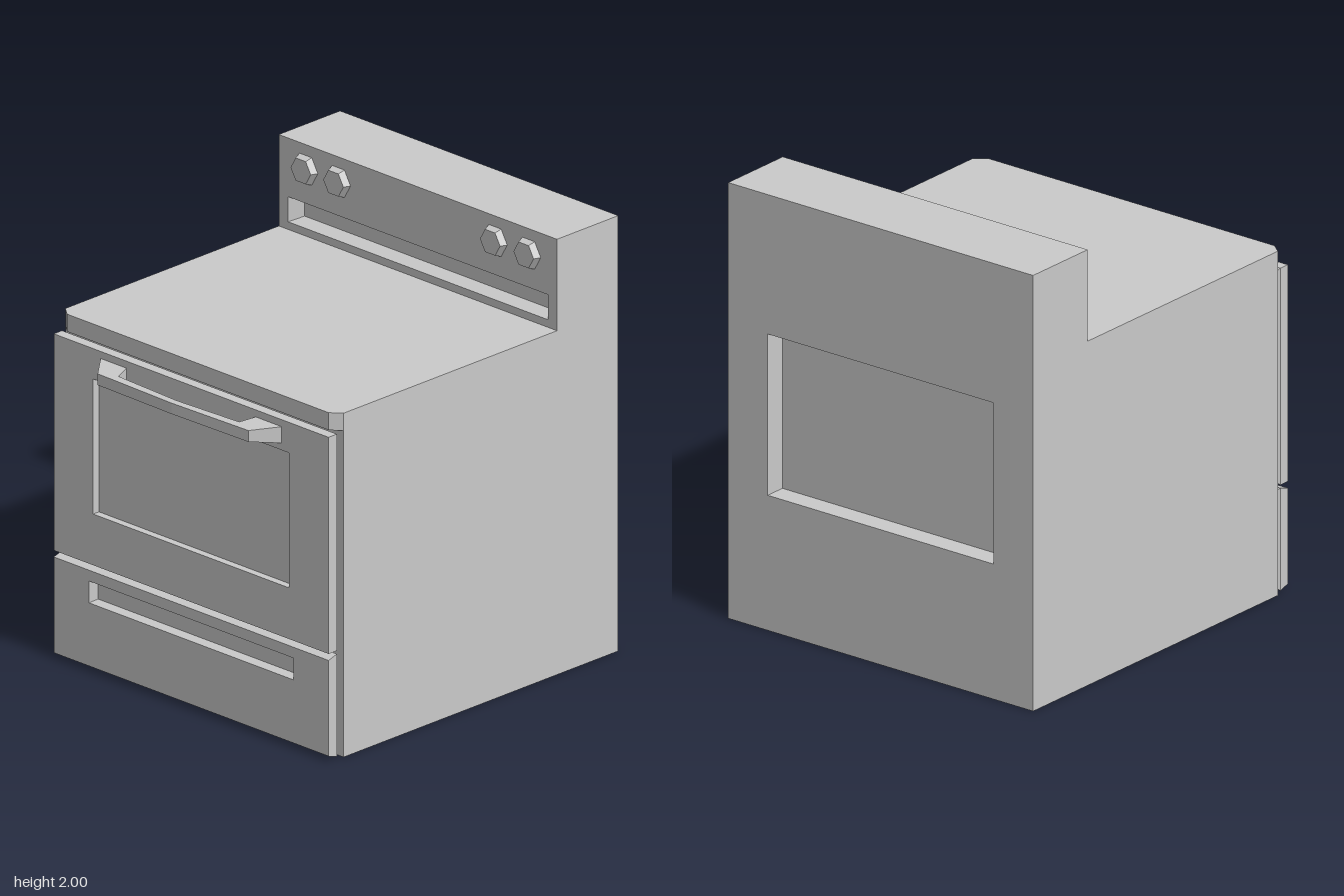
import * as THREE from 'three';

const material = new THREE.MeshStandardMaterial({ color: 0xcccccc, flatShading: true });

function add(group, name, geometry, x = 0, y = 0, z = 0) {
  const mesh = new THREE.Mesh(geometry, material);
  mesh.name = name;
  mesh.position.set(x, y, z);
  group.add(mesh);
  return mesh;
}

// Skin a chain of rectangles [halfWidth, bottom, top, z] from back to front, capping both ends.
// Smaller rectangles at either end fold inwards to form recesses.
function rectLoft(rects) {
  const rings = rects.map(([w, y0, y1, z]) => [[-w, y0, z], [w, y0, z], [w, y1, z], [-w, y1, z]]);
  const pos = [];
  const quad = (a, b, c, d) => pos.push(...a, ...b, ...c, ...a, ...c, ...d);
  const first = rings[0], last = rings[rings.length - 1];
  quad(first[3], first[2], first[1], first[0]);
  for (let k = 0; k < rings.length - 1; k++) {
    for (let i = 0; i < 4; i++) {
      const j = (i + 1) % 4;
      quad(rings[k][i], rings[k][j], rings[k + 1][j], rings[k + 1][i]);
    }
  }
  quad(last[0], last[1], last[2], last[3]);
  const g = new THREE.BufferGeometry();
  g.setAttribute('position', new THREE.Float32BufferAttribute(pos, 3));
  g.computeVertexNormals();
  return g;
}

// Extrude a plan outline of [x, z] points upwards from y = 0
function planExtrude(points, height) {
  const shape = new THREE.Shape(points.map(([x, z]) => new THREE.Vector2(x, -z)));
  return new THREE.ExtrudeGeometry(shape, { depth: height, bevelEnabled: false }).rotateX(-Math.PI / 2);
}

export function createModel() {
  const stove = new THREE.Group();
  stove.name = 'stove';

  // Main cabinet and the chamfered front lip of the cooktop
  add(stove, 'cabinet', new THREE.BoxGeometry(1.66, 1.58, 1.29), 0, 0.79, 0.085);
  add(stove, 'cooktopLip',
    planExtrude([[-0.83, 0.73], [-0.78, 0.77], [0.78, 0.77], [0.83, 0.73]], 0.08), 0, 1.5, 0);

  // Rear section with a recess in the back and a vent slot in the control panel
  add(stove, 'backPanel', rectLoft([
    [0.615, 0.62, 1.36, -0.83],
    [0.615, 0.62, 1.36, -0.93],
    [0.83, 0, 2, -0.93],
    [0.83, 0, 2, -0.56],
    [0.775, 1.615, 1.73, -0.56],
    [0.735, 1.635, 1.71, -0.62],
  ]));

  // Oven door with sunken window
  add(stove, 'ovenDoor', rectLoft([
    [0.79, 0.53, 1.455, 0.73],
    [0.82, 0.495, 1.49, 0.76],
    [0.82, 0.495, 1.49, 0.81],
    [0.585, 0.73, 1.35, 0.81],
    [0.585, 0.73, 1.35, 0.775],
  ]));

  // Storage drawer with a finger slot
  add(stove, 'drawer', rectLoft([
    [0.79, 0.04, 0.455, 0.73],
    [0.82, 0.01, 0.48, 0.76],
    [0.82, 0.025, 0.465, 0.81],
    [0.61, 0.315, 0.415, 0.81],
    [0.595, 0.325, 0.395, 0.77],
  ]));

  // Door handle: bowed bar, thinning in height away from the door
  const handle = planExtrude([
    [-0.54, 0.81], [-0.45, 0.92], [0, 0.93], [0.45, 0.92], [0.54, 0.81],
    [0.385, 0.81], [0.36, 0.885], [0, 0.9], [-0.36, 0.885], [-0.385, 0.81],
  ], 1);
  const p = handle.attributes.position;
  for (let i = 0; i < p.count; i++) {
    const height = THREE.MathUtils.mapLinear(p.getZ(i), 0.81, 0.93, 0.075, 0.05);
    p.setY(i, (p.getY(i) - 0.5) * height);
  }
  handle.computeVertexNormals();
  add(stove, 'doorHandle', handle, 0, 1.42, 0);

  // Hexagonal control knobs
  const knob = new THREE.CylinderGeometry(0.06, 0.073, 0.03, 6).rotateY(Math.PI / 6).rotateX(Math.PI / 2);
  for (const x of [-0.67, -0.475, 0.46, 0.66]) {
    add(stove, 'knob', knob, x, 1.887, -0.545);
  }

  return stove;
}
